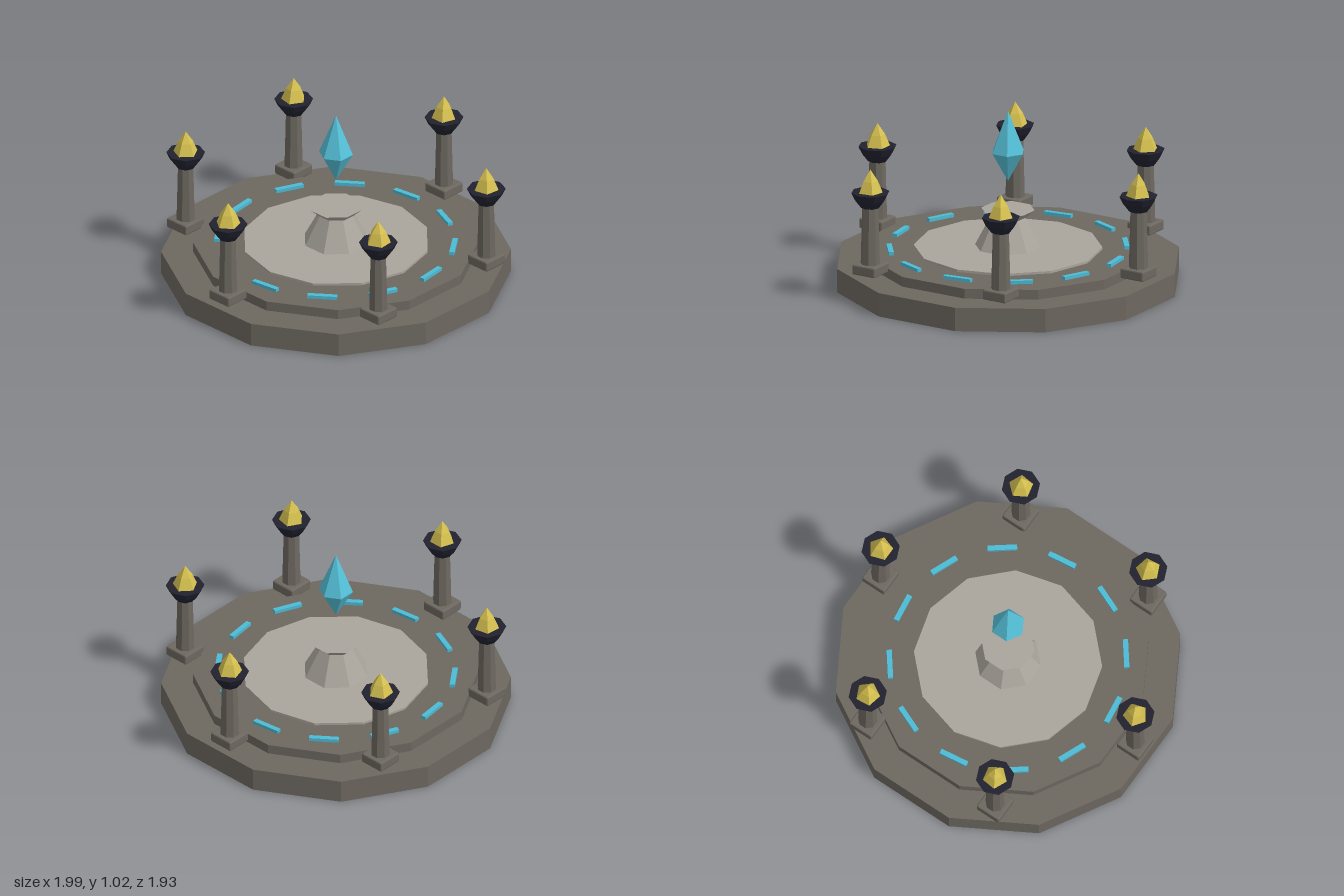
import * as THREE from 'three';
import { RoundedBoxGeometry } from 'three/addons/geometries/RoundedBoxGeometry.js';

const material = (name, color) => {
  const m = new THREE.MeshStandardMaterial({ color, flatShading: true });
  m.name = name;
  return m;
};

export function createModel() {
  const darkStone = material('dark stone', 0x6d6860);
  const paleStone = material('pale stone', 0xaaa59c);
  const iron = material('dark iron', 0x222230);
  const gold = material('golden flame', 0xd6c150);
  const crystalBlue = material('crystal blue', 0x55c0d8);
  const runeBlue = material('rune blue', 0x4cbbd4);

  const model = new THREE.Group();
  model.name = 'crystalShrine';

  const add = (parent, name, geometry, mat) => {
    const mesh = new THREE.Mesh(geometry, mat);
    mesh.name = name;
    parent.add(mesh);
    return mesh;
  };
  // Faceted prism or frustum between two heights
  const prism = (parent, name, mat, sides, rBottom, rTop, y0, y1, turn = 0) => {
    const g = new THREE.CylinderGeometry(rTop, rBottom, y1 - y0, sides);
    g.rotateY(turn).translate(0, (y0 + y1) / 2, 0);
    return add(parent, name, g, mat);
  };
  // Faceted solid turned from a profile listed bottom to top
  const turned = (parent, name, mat, sides, profile, turn = 0) => {
    const points = profile.map(([r, y]) => new THREE.Vector2(r, y));
    const g = new THREE.LatheGeometry(points, sides).rotateY(turn);
    return add(parent, name, g, mat);
  };

  // Stepped platform
  prism(model, 'lowerStep', darkStone, 12, 1, 1, 0, 0.14, Math.PI / 12);
  prism(model, 'upperStep', darkStone, 12, 0.817, 0.817, 0.14, 0.198, Math.PI / 12);
  prism(model, 'innerFloor', paleStone, 12, 0.54, 0.54, 0.198, 0.212);

  // Ring of glowing runes
  for (let i = 0; i < 12; i++) {
    const a = THREE.MathUtils.degToRad(22.5 + i * 30);
    const rune = add(model, 'rune', new THREE.BoxGeometry(0.03, 0.02, 0.17), runeBlue);
    rune.position.set(0.676 * Math.cos(a), 0.208, 0.676 * Math.sin(a));
    rune.rotation.y = -a;
  }

  // Central pedestal
  prism(model, 'pedestal', paleStone, 8, 0.192, 0.098, 0.21, 0.39, Math.PI / 8);
  prism(model, 'pedestalCap', paleStone, 8, 0.11, 0.155, 0.39, 0.432, Math.PI / 8);

  // Floating crystal
  turned(model, 'crystal', crystalBlue, 6,
    [[0, 0.6], [0.1, 0.775], [0, 1.02]], Math.PI / 6);

  // Six pillars with fire bowls
  for (let i = 0; i < 6; i++) {
    const a = (i * Math.PI) / 3;
    const pillar = new THREE.Group();
    pillar.name = 'pillar';
    pillar.position.set(0.886 * Math.cos(a), 0, 0.886 * Math.sin(a));
    model.add(pillar);

    const foot = add(pillar, 'pillarFoot', new RoundedBoxGeometry(0.154, 0.06, 0.154, 1, 0.008), darkStone);
    foot.position.y = 0.205;
    prism(pillar, 'pillarShaft', darkStone, 8, 0.056, 0.047, 0.23, 0.58, Math.PI / 8);
    turned(pillar, 'fireBowl', iron, 8,
      [[0, 0.572], [0.055, 0.572], [0.09, 0.618], [0.111, 0.662], [0, 0.662]]);
    turned(pillar, 'flame', gold, 5,
      [[0.075, 0.655], [0.044, 0.73], [0, 0.797]], Math.PI / 2 - a);
  }

  return model;
}
